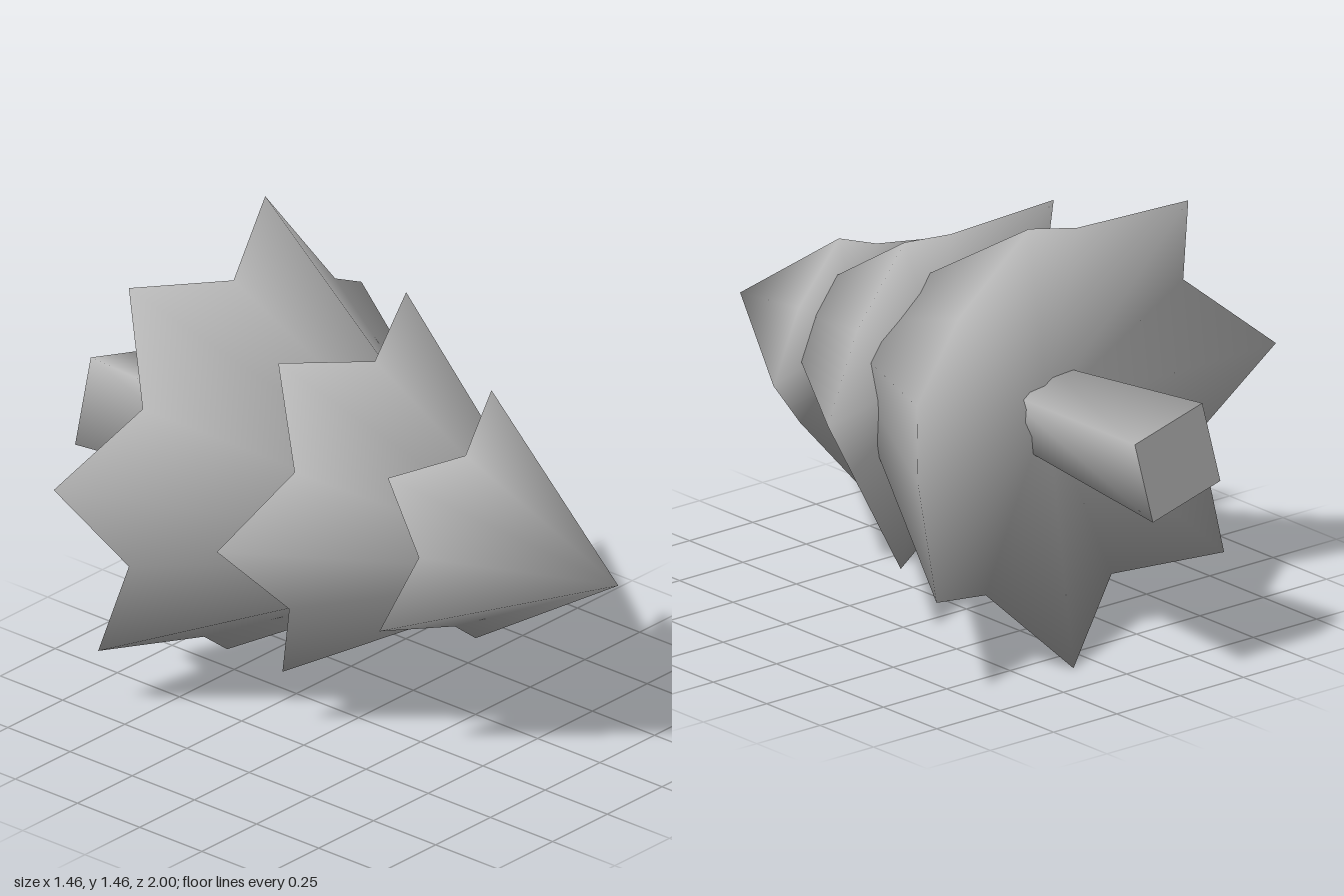
import * as THREE from 'three';

// Rim outlines (x, y), clockwise from the front, alternating tip and valley.
// Each tier: hidden or visible peak, rim depth of tips and valleys, underside centre.
const TIERS = [
  {
    name: 'topFoliage', peak: [0.05, 0.75, 1], tipZ: 0.36, valleyZ: 0.455, baseZ: 0.48,
    rim: [[-0.285, 1.03], [-0.03, 1.04], [0.205, 1.14], [0.285, 0.91], [0.47, 0.73],
      [0.28, 0.54], [0.13, 0.335], [-0.08, 0.485], [-0.325, 0.53], [-0.25, 0.78]],
  },
  {
    name: 'middleFoliage', peak: [0.03, 0.75, 0.85], tipZ: -0.085, valleyZ: 0.04, baseZ: 0.09,
    rim: [[-0.28, 1.27], [0.03, 1.2], [0.325, 1.28], [0.41, 0.98], [0.635, 0.765], [0.43, 0.53],
      [0.34, 0.235], [0.04, 0.31], [-0.26, 0.225], [-0.375, 0.52], [-0.57, 0.745], [-0.35, 0.97]],
  },
  {
    name: 'bottomFoliage', peak: [0.01, 0.75, 0.65], tipZ: -0.605, valleyZ: -0.46, baseZ: -0.39,
    rim: [[-0.375, 1.39], [-0.05, 1.34], [0.27, 1.455], [0.43, 1.165], [0.725, 0.995],
      [0.595, 0.675], [0.645, 0.345], [0.32, 0.25], [0.09, 0], [-0.19, 0.195],
      [-0.52, 0.225], [-0.545, 0.565], [-0.73, 0.845], [-0.48, 1.07]],
  },
];

// Closed star cone whose shared vertices give smooth shading over the rim
function starCone({ peak, tipZ, valleyZ, baseZ, rim }) {
  const n = rim.length;
  const positions = [...peak, 0.01, 0.75, baseZ];
  const index = [];
  rim.forEach(([x, y], i) => {
    positions.push(x, y, (i % 2 ? valleyZ : tipZ) - 0.03 * x);
    const a = 2 + i, b = 2 + ((i + 1) % n);
    index.push(0, b, a, 1, a, b);
  });
  const geometry = new THREE.BufferGeometry();
  geometry.setAttribute('position', new THREE.Float32BufferAttribute(positions, 3));
  geometry.setIndex(index);
  geometry.computeVertexNormals();
  return geometry;
}

export function createModel() {
  const group = new THREE.Group();
  const grey = new THREE.MeshStandardMaterial({ color: 0xb4b4b4 });
  grey.name = 'plainGrey';

  // Three overlapping foliage tiers
  for (const tier of TIERS) {
    const mesh = new THREE.Mesh(starCone(tier), grey);
    mesh.name = tier.name;
    group.add(mesh);
  }

  // Four-sided trunk widening toward its foot
  const trunkGeometry = new THREE.CylinderGeometry(0.13, 0.195, 0.7, 4, 1, false, Math.PI * 2 / 3);
  trunkGeometry.rotateX(Math.PI / 2);
  const trunk = new THREE.Mesh(trunkGeometry, grey);
  trunk.name = 'trunk';
  trunk.position.set(0.01, 0.75, -0.65);
  group.add(trunk);

  return group;
}
